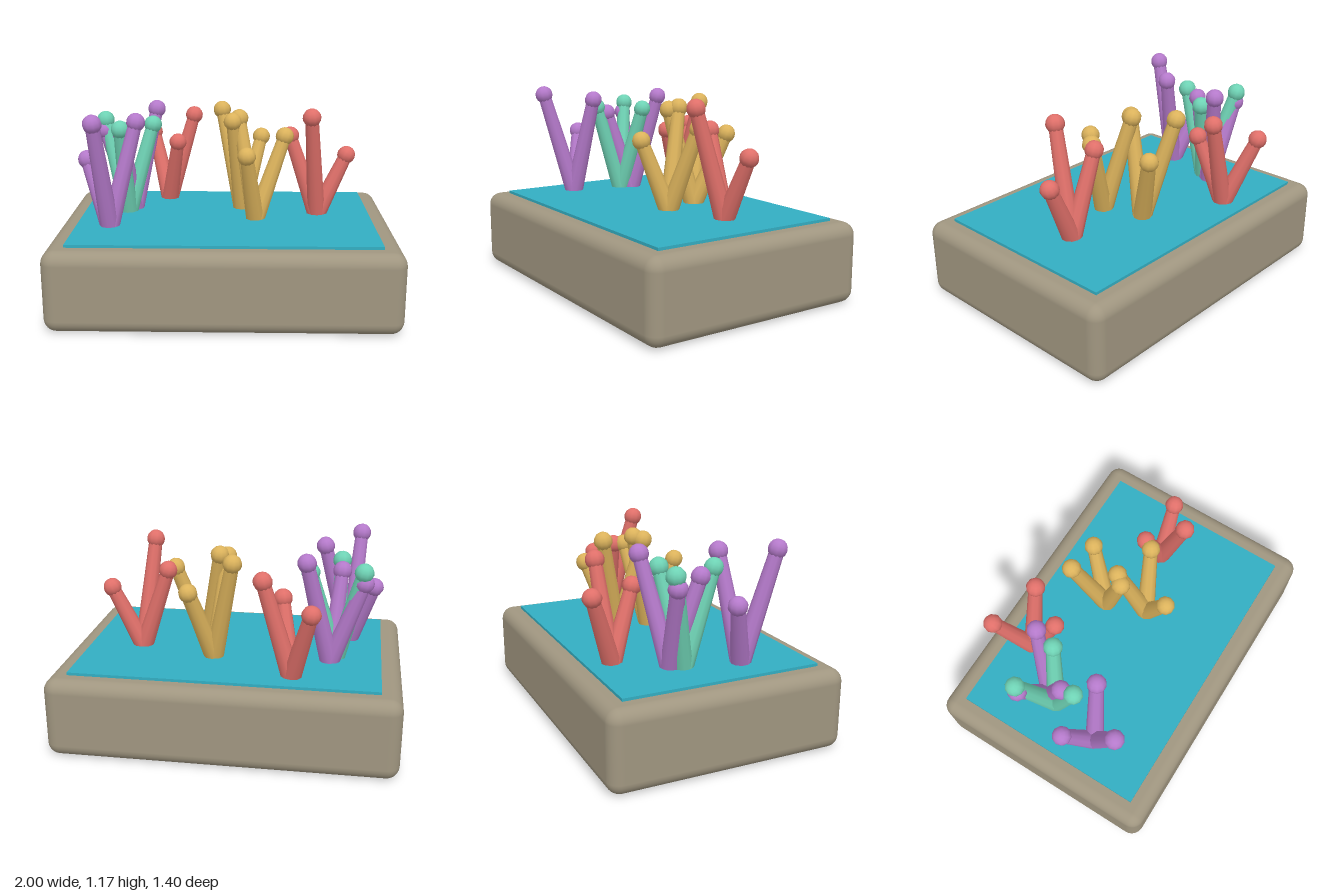
import * as THREE from 'three';
import { RoundedBoxGeometry } from 'three/addons/geometries/RoundedBoxGeometry.js';

const paint = (color) => new THREE.MeshStandardMaterial({ color });
const RED = paint(0xe0706a), PURPLE = paint(0xb57acb), YELLOW = paint(0xdcb35c), GREEN = paint(0x6fd3b5);
const SURFACE = 0.475;

// Each coral: material, root [x, z], tip centres [x, y, z]
const CORALS = [
  [PURPLE, [-0.68, 0.21], [[-0.82, 0.86, 0.10], [-0.73, 1.12, 0.39], [-0.52, 1.09, 0.145]]],
  [PURPLE, [-0.58, -0.175], [[-0.44, 1.10, -0.295], [-0.63, 0.99, -0.02], [-0.76, 0.975, -0.22]]],
  [GREEN, [-0.61, -0.11], [[-0.755, 1.04, -0.23], [-0.455, 1.02, -0.185], [-0.625, 1.03, 0.06]]],
  [RED, [-0.38, -0.435], [[-0.49, 0.90, -0.585], [-0.215, 1.035, -0.46], [-0.31, 0.89, -0.28]]],
  [YELLOW, [0.1, -0.2], [[-0.03, 1.09, -0.335], [0.22, 0.915, -0.355], [0.04, 1.06, -0.055]]],
  [YELLOW, [0.18, 0.04], [[0.08, 1.075, -0.10], [0.355, 0.975, -0.045], [0.125, 0.90, 0.195]]],
  [RED, [0.56, -0.08], [[0.39, 0.97, -0.10], [0.735, 0.85, -0.105], [0.505, 1.11, 0.085]]],
];

function add(parent, name, geometry, material) {
  const mesh = new THREE.Mesh(geometry, material);
  mesh.name = name;
  parent.add(mesh);
  return mesh;
}

// A tapered branch from root to tip, ending in a ball
function addBranch(parent, material, root, tip) {
  const dir = tip.clone().sub(root);
  const branch = new THREE.Group();
  branch.name = 'branch';
  branch.position.copy(root);
  branch.quaternion.setFromUnitVectors(new THREE.Vector3(0, 1, 0), dir.clone().normalize());
  const length = dir.length();
  add(branch, 'stalk', new THREE.CylinderGeometry(0.04, 0.056, length, 10), material).position.y = length / 2;
  add(branch, 'tipBall', new THREE.SphereGeometry(0.055, 10, 8), material).position.y = length;
  parent.add(branch);
}

export function createModel() {
  const model = new THREE.Group();
  model.name = 'coralTank';

  // Rounded stone base
  add(model, 'base', new RoundedBoxGeometry(2, 0.47, 1.4, 4, 0.075), paint(0xa09680)).position.y = 0.235;

  // Thin water sheet, slightly proud of the base
  add(model, 'water', new THREE.BoxGeometry(1.76, 0.025, 1.17), paint(0x33aec2)).position.y = 0.474;

  // Three-branched corals
  for (const [material, [x, z], tips] of CORALS) {
    const coral = new THREE.Group();
    coral.name = 'coral';
    const root = new THREE.Vector3(x, SURFACE, z);
    for (const tip of tips) addBranch(coral, material, root, new THREE.Vector3(...tip));
    model.add(coral);
  }
  return model;
}
